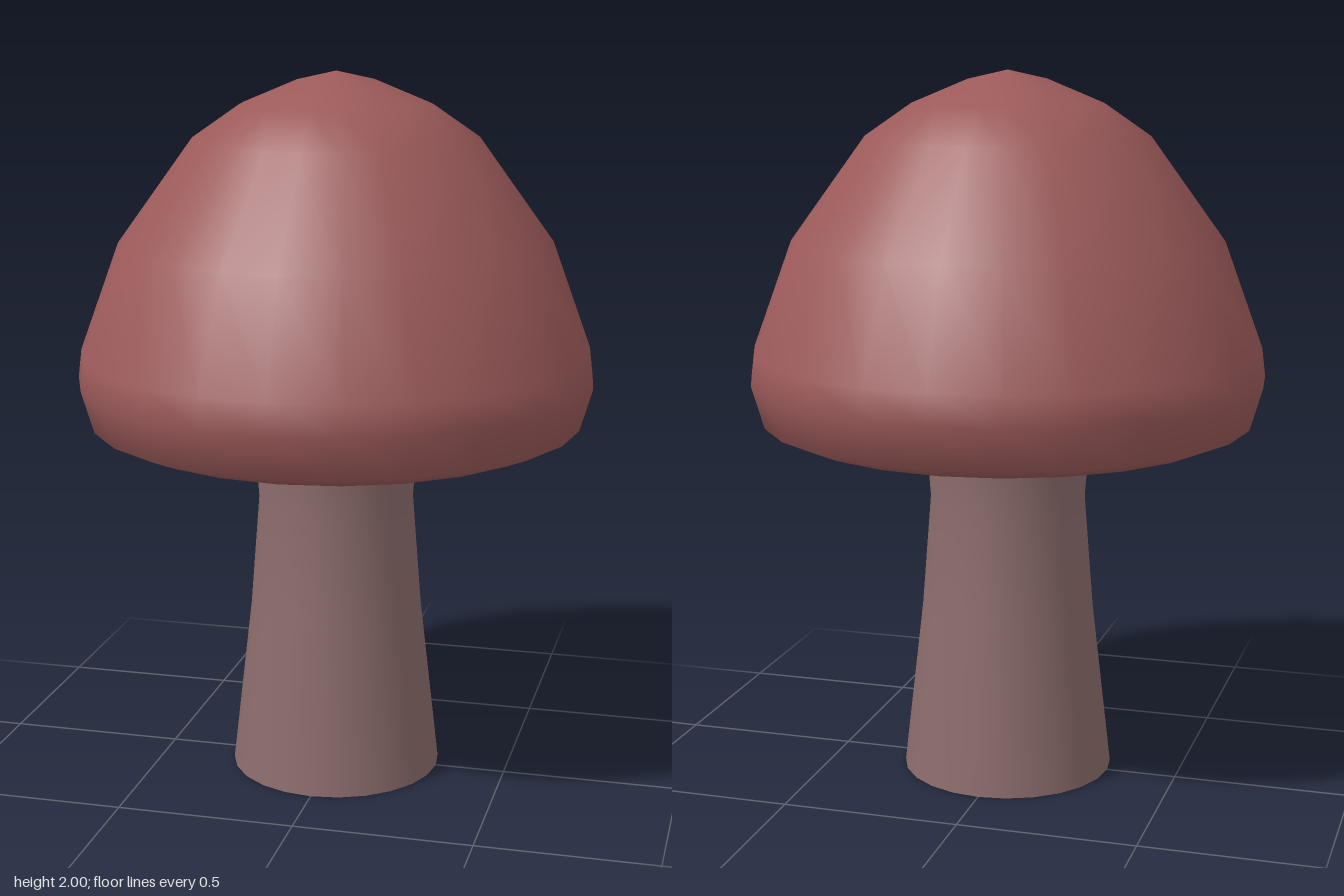
import * as THREE from 'three';

// Smooth surface of revolution from [radius, height] pairs, listed bottom to top
function turned(name, profile, segments, color) {
  const points = profile.map(([r, y]) => new THREE.Vector2(r, y));
  const material = new THREE.MeshStandardMaterial({ color, side: THREE.DoubleSide });
  const mesh = new THREE.Mesh(new THREE.LatheGeometry(points, segments), material);
  mesh.name = name;
  return mesh;
}

export function createModel() {
  const model = new THREE.Group();
  model.name = 'mushroom';

  // Hollow stem, open at the foot, flaring out where it meets the cap
  model.add(turned('stem', [
    [0.30, 0], [0.245, 0.48], [0.22, 0.8], [0.235, 1.0], [0.25, 1.05], [0.285, 1.085],
  ], 24, 0x8c6c6c));

  // Cap: slightly hollowed underside, rolled rim, domed top
  model.add(turned('cap', [
    [0.28, 1.085], [0.45, 1.04], [0.62, 1.0], [0.69, 1.03], [0.725, 1.15], [0.715, 1.23],
    [0.605, 1.53], [0.395, 1.82], [0.265, 1.91], [0.11, 1.975], [0, 2.0],
  ], 24, 0x9c5a5a));

  return model;
}
